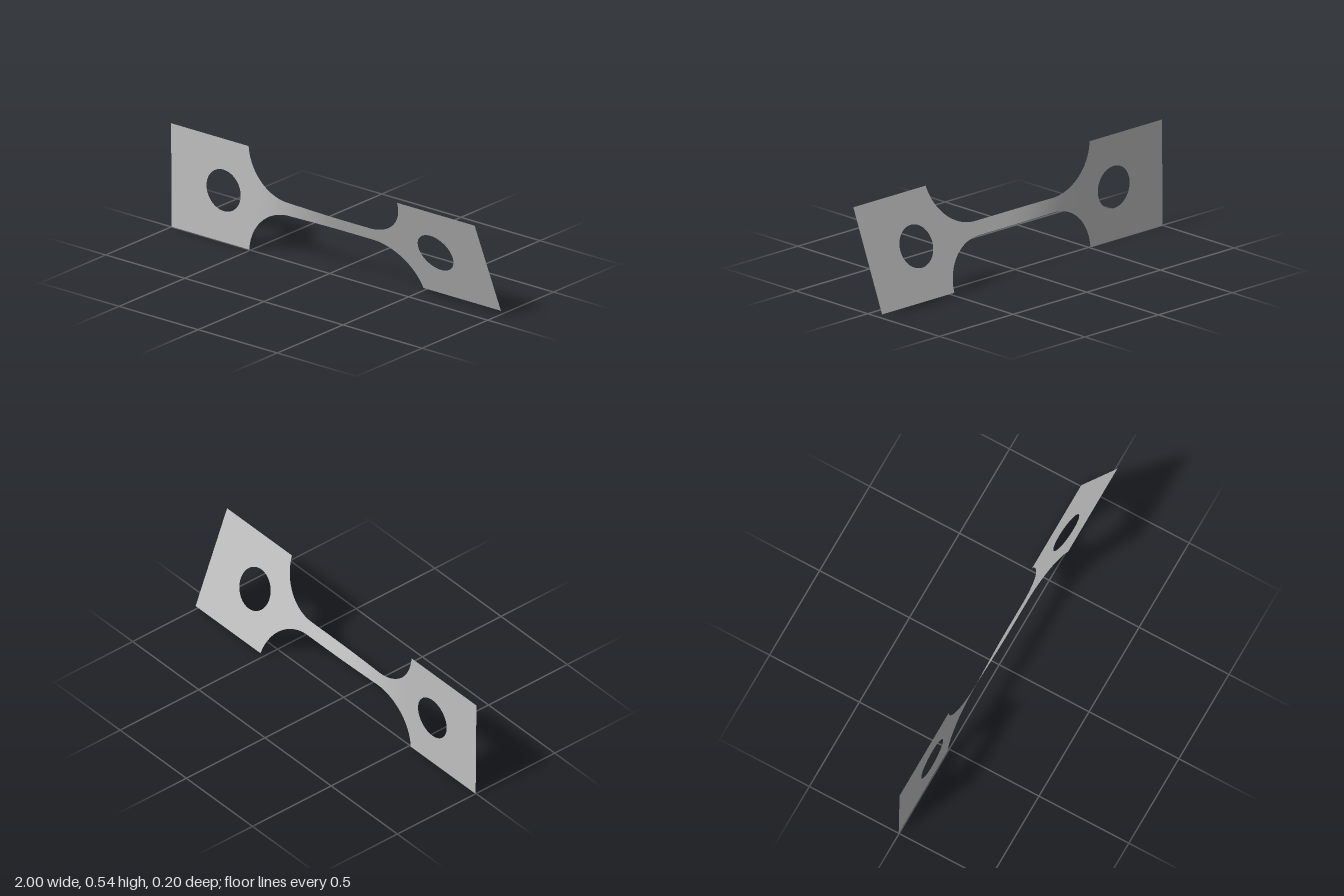
import * as THREE from 'three';

const MID_Y = 0.271;      // height of the long axis
const HALF_H = 0.27;      // half height of the end plates
const NECK_H = 0.036;     // half height of the neck
const R = 0.25;           // fillet radius
const ARC_X = 0.26;       // fillet centre along x
const EDGE_X = ARC_X + Math.sqrt(R * R - (NECK_H + R - HALF_H) ** 2);
const TWIST_START = 0.009, TWIST_END = 0.38;

// twist about the long axis, easing from one end plate to the other
function twistAt(x) {
  return THREE.MathUtils.lerp(TWIST_START, TWIST_END, THREE.MathUtils.smoothstep(x, -0.5, 0.1));
}

// half height of the waist, with circular fillets towards both plates
function halfHeight(x) {
  const d = Math.max(0, Math.abs(x) - ARC_X);
  return NECK_H + R - Math.sqrt(Math.max(0, R * R - d * d));
}

function twist(geometry) {
  const p = geometry.attributes.position;
  for (let i = 0; i < p.count; i++) {
    const x = p.getX(i), y = p.getY(i), a = twistAt(x);
    p.setXYZ(i, x, MID_Y + y * Math.cos(a), y * Math.sin(a));
  }
  geometry.computeVertexNormals();
  return geometry;
}

// square end plate with a round hole
function endPlate(side) {
  const x0 = Math.min(side, side * EDGE_X), x1 = Math.max(side, side * EDGE_X);
  const shape = new THREE.Shape();
  shape.moveTo(x0, -HALF_H).lineTo(x1, -HALF_H).lineTo(x1, HALF_H).lineTo(x0, HALF_H).closePath();
  const hole = new THREE.Path();
  hole.absarc(side * 0.67, 0, 0.108, 0, Math.PI * 2, true);
  shape.holes.push(hole);
  return twist(new THREE.ShapeGeometry(shape, 32));
}

// narrow twisted neck with flared ends
function neck() {
  const cols = 96;
  const g = new THREE.PlaneGeometry(2, 2, cols, 4);
  const p = g.attributes.position;
  for (let i = 0; i < p.count; i++) {
    // columns crowd towards the steep ends of the fillets
    const x = EDGE_X * Math.sin(p.getX(i) * Math.PI / 2);
    p.setXY(i, x, p.getY(i) * halfHeight(x));
  }
  return twist(g);
}

export function createModel() {
  const model = new THREE.Group();
  model.name = 'twistedSpecimen';
  const metal = new THREE.MeshStandardMaterial({ color: 0xbfbfbf, side: THREE.DoubleSide });
  metal.name = 'greyMetal';
  const add = (name, geometry) => {
    const mesh = new THREE.Mesh(geometry, metal);
    mesh.name = name;
    model.add(mesh);
  };
  add('rightEndPlate', endPlate(-1));
  add('neck', neck());
  add('leftEndPlate', endPlate(1));
  return model;
}
